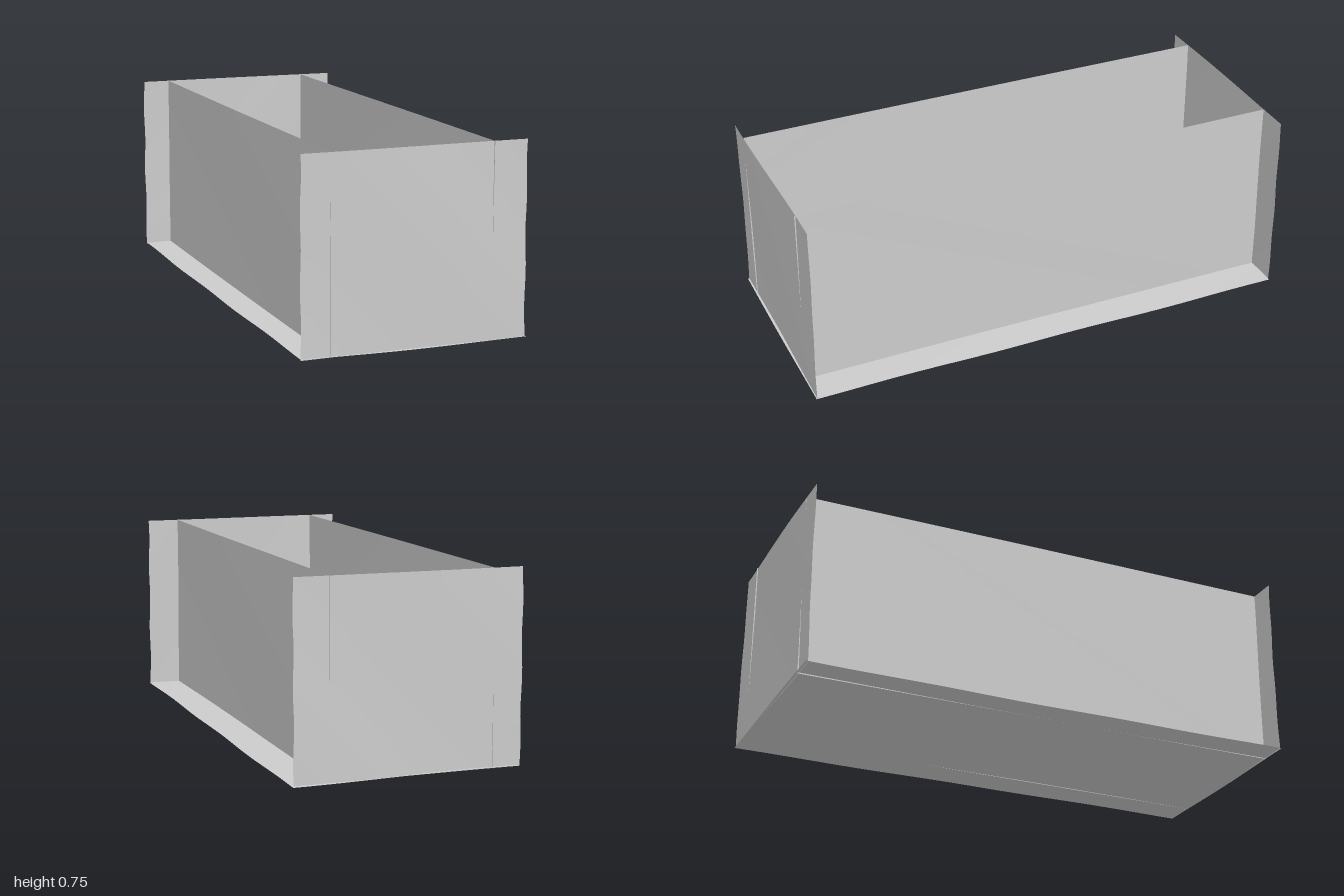
import * as THREE from 'three';

const material = new THREE.MeshStandardMaterial({ color: 0xcccccc, side: THREE.DoubleSide });

// Thin sheet in its own XY plane, with a faint warp and slightly wavy side edges
function sheet(name, width, height, warp, edgeWave, phase) {
  const geometry = new THREE.PlaneGeometry(width, height, 24, 24);
  const p = geometry.attributes.position;
  for (let i = 0; i < p.count; i++) {
    const u = p.getX(i) / width, v = p.getY(i) / height;
    const edge = Math.pow(Math.abs(2 * u), 8);
    p.setZ(i, warp * Math.sin(5 * u + 4 * v + phase));
    p.setX(i, p.getX(i) - Math.sign(u) * edge * edgeWave * (0.5 + 0.5 * Math.sin(17 * v + phase)));
  }
  geometry.computeVertexNormals();
  const mesh = new THREE.Mesh(geometry, material);
  mesh.name = name;
  return mesh;
}

export function createModel() {
  const group = new THREE.Group();
  group.name = 'openBox';
  const top = 0.747, base = 0.006;
  const height = top - base, midY = (top + base) / 2;

  // Floor, as wide as the end panels
  const floor = sheet('floor', 0.89, 2, 0.003, 0.005, 0.6);
  floor.rotation.x = -Math.PI / 2;
  floor.rotation.y = 0.006;
  floor.position.y = 0.007;
  group.add(floor);

  // End panels, overhanging the side walls as flanges
  for (const [name, side] of [['frontPanel', 1], ['backPanel', -1]]) {
    const panel = sheet(name, 0.885, height, 0.003, 0.004, side);
    panel.position.set(-0.002, midY, side * 0.993);
    if (side < 0) panel.rotation.y = Math.PI;
    group.add(panel);
  }

  // Side walls, set in from the floor's edges
  for (const [name, x] of [['leftWall', 0.305], ['rightWall', -0.33]]) {
    const wall = sheet(name, 1.99, height, 0.0015, 0, x);
    wall.rotation.y = Math.sign(x) * Math.PI / 2;
    wall.position.set(x, midY, 0);
    group.add(wall);
  }
  return group;
}
